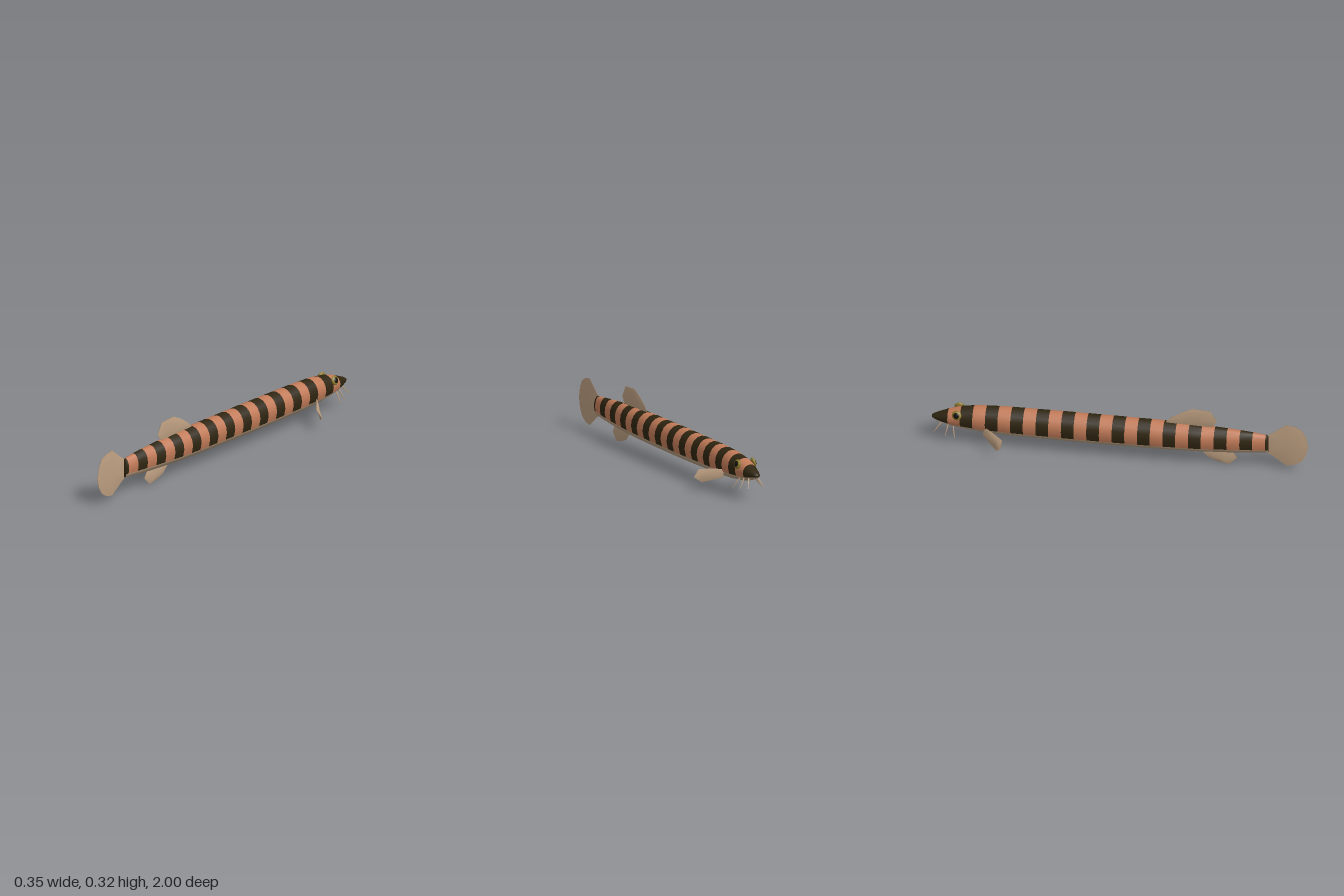
import * as THREE from 'three';

const mat = (name, color, side = THREE.FrontSide) => {
  const m = new THREE.MeshStandardMaterial({ color, side });
  m.name = name;
  return m;
};

// Body stations: z, bottom y, top y, half width
const STATIONS = [
  [-1, 0.134, 0.146, 0.01], [-0.985, 0.125, 0.156, 0.021], [-0.95, 0.112, 0.171, 0.034],
  [-0.9, 0.097, 0.192, 0.046], [-0.85, 0.088, 0.207, 0.054], [-0.75, 0.077, 0.222, 0.062],
  [-0.6, 0.07, 0.228, 0.066], [-0.2, 0.065, 0.231, 0.067], [0.2, 0.068, 0.23, 0.066],
  [0.4, 0.072, 0.226, 0.06], [0.6, 0.081, 0.217, 0.044], [0.7, 0.088, 0.21, 0.034], [0.79, 0.096, 0.201, 0.024],
];

function section(z) {
  let i = 0;
  while (i < STATIONS.length - 2 && z > STATIONS[i + 1][0]) i++;
  const [a, b] = [STATIONS[i], STATIONS[i + 1]];
  const t = (z - a[0]) / (b[0] - a[0]);
  return [1, 2, 3].map((k) => a[k] + (b[k] - a[k]) * t);
}

// Evenly spaced dark bands, plus the dark snout
const PERIOD = 0.135;
const START = 0.64;
const BAND = 0.067;
function isDark(z) {
  if (z < -0.913) return true;
  const p = (((z - START) % PERIOD) + PERIOD) % PERIOD;
  return p < BAND;
}

// One smooth skin, with material groups for bands and belly
function bodyGeometry() {
  const zs = STATIONS.map((s) => s[0]);
  for (let k = -1; k <= 12; k++) {
    for (const z of [START - PERIOD * k, START - PERIOD * k + BAND]) if (z > -0.93 && z < 0.785) zs.push(z);
  }
  zs.sort((a, b) => a - b);
  const rows = zs.filter((z, i) => i === 0 || z - zs[i - 1] > 1e-4);
  const N = 16;
  const angles = Array.from({ length: N }, (_, j) => (j * Math.PI * 2) / N);
  angles[9] = Math.PI * (1 + 1 / 6); // belly line, right
  angles[15] = -Math.PI / 6; // belly line, left
  const pos = [];
  for (const z of rows) {
    const [y0, y1, w] = section(z);
    for (const a of angles) pos.push(w * Math.cos(a), (y0 + y1) / 2 + ((y1 - y0) / 2) * Math.sin(a), z);
  }
  const faces = [[], [], []]; // light, dark, belly
  for (let i = 0; i < rows.length - 1; i++) {
    const dark = isDark((rows[i] + rows[i + 1]) / 2);
    for (let j = 0; j < N; j++) {
      const k = (j + 1) % N;
      const [a, b, c, d] = [i * N + j, i * N + k, (i + 1) * N + j, (i + 1) * N + k];
      faces[j >= 9 && j < 15 ? 2 : dark ? 1 : 0].push(a, b, c, b, d, c);
    }
  }
  // End caps
  const last = (rows.length - 1) * N;
  const tip = pos.length / 3;
  pos.push(0, 0.14, -1, 0, 0.148, 0.79);
  for (let j = 0; j < N; j++) {
    const k = (j + 1) % N;
    faces[1].push(tip, k, j, tip + 1, last + j, last + k);
  }
  const g = new THREE.BufferGeometry();
  g.setAttribute('position', new THREE.Float32BufferAttribute(pos, 3));
  g.setIndex(faces.flat());
  let start = 0;
  faces.forEach((f, m) => {
    g.addGroup(start, f.length, m);
    start += f.length;
  });
  g.computeVertexNormals();
  return g;
}

// Thin fin: an outline swelling to a slight ridge on both sides
function finGeometry(points, thickness) {
  const pts = points.map((p) => new THREE.Vector3(...p));
  const n = pts.length;
  const centre = pts.reduce((s, p) => s.add(p), new THREE.Vector3()).divideScalar(n);
  const normal = new THREE.Vector3();
  pts.forEach((p, i) => {
    const q = pts[(i + 1) % n];
    normal.add(p.clone().sub(centre).cross(q.clone().sub(centre)));
  });
  normal.normalize();
  const pos = [];
  const index = [];
  for (const s of [1, -1]) {
    const base = pos.length / 3;
    for (const p of pts) pos.push(...p.clone().addScaledVector(normal, s * 0.0015).toArray());
    for (const p of pts) {
      pos.push(...p.clone().lerp(centre, 0.5).addScaledVector(normal, s * thickness * 0.8).toArray());
    }
    pos.push(...centre.clone().addScaledVector(normal, s * thickness).toArray());
    for (let i = 0; i < n; i++) {
      const k = (i + 1) % n;
      const tris = [[i, k, n + i], [k, n + k, n + i], [n + i, n + k, 2 * n]];
      for (const [a, b, c] of tris) index.push(base + a, base + (s > 0 ? b : c), base + (s > 0 ? c : b));
    }
  }
  // Narrow rim
  const m = 2 * n + 1;
  for (let i = 0; i < n; i++) {
    const k = (i + 1) % n;
    index.push(i, m + i, k, k, m + i, m + k);
  }
  const g = new THREE.BufferGeometry();
  g.setAttribute('position', new THREE.Float32BufferAttribute(pos, 3));
  g.setIndex(index);
  g.computeVertexNormals();
  return g;
}

export function createModel() {
  const group = new THREE.Group();
  const light = mat('salmon skin', 0xc27b58);
  const dark = mat('dark band', 0x2f2511);
  const belly = mat('pale belly', 0xb89c7e);
  const fin = mat('fin tan', 0xbc9e80, THREE.DoubleSide);
  const iris = mat('iris gold', 0x8f7a2c);
  const pupil = mat('pupil black', 0x12100c);
  const add = (name, geometry, material) => {
    const mesh = new THREE.Mesh(geometry, material);
    mesh.name = name;
    group.add(mesh);
    return mesh;
  };

  add('body', bodyGeometry(), [light, dark, belly]);

  // Upright fins, outlined in (z, y)
  const upright = (name, outline, t) => add(name, finGeometry(outline.map(([z, y]) => [0, y, z]), t), fin);
  upright('tailFin', [
    [0.76, 0.19], [0.8, 0.21], [0.885, 0.276], [0.93, 0.268], [0.967, 0.25], [0.99, 0.205], [1, 0.15],
    [0.99, 0.1], [0.967, 0.058], [0.93, 0.034], [0.885, 0.024], [0.8, 0.085], [0.76, 0.105],
  ], 0.007);
  upright('dorsalFin', [
    [0.23, 0.215], [0.27, 0.258], [0.33, 0.298], [0.385, 0.324], [0.48, 0.318], [0.515, 0.258], [0.48, 0.21],
  ], 0.007);
  upright('analFin', [
    [0.42, 0.085], [0.475, 0.03], [0.52, 0.014], [0.58, 0.002], [0.622, 0.045], [0.595, 0.09],
  ], 0.006);

  for (const s of [1, -1]) {
    const side = s > 0 ? 'left' : 'right';
    // Paired side fins
    const outline = [
      [0.05, 0.125, -0.71], [0.085, 0.123, -0.67], [0.14, 0.113, -0.605],
      [0.172, 0.073, -0.61], [0.14, 0.048, -0.637], [0.055, 0.085, -0.722],
    ];
    add(side + 'PectoralFin', finGeometry(outline.map(([x, y, z]) => [s * x, y, z]), 0.005), fin);

    // Eye: flattened gold ball with a dark pupil
    const eye = new THREE.Group();
    eye.name = side + 'Eye';
    const parts = [['iris', iris, 0.026, 0], ['pupil', pupil, 0.0175, 0.006]];
    for (const [name, material, r, out] of parts) {
      const ball = new THREE.Mesh(new THREE.SphereGeometry(r, 16, 10), material);
      ball.name = name;
      ball.scale.z = 0.45;
      ball.position.z = out;
      eye.add(ball);
    }
    eye.position.set(s * 0.047, 0.183, -0.862);
    eye.lookAt(s * 1.047, 0.5, -1.0);
    group.add(eye);

    // Barbels hanging round the mouth
    const barbels = [
      [[0.024, 0.122, -0.945], [0.05, 0.07, -0.985]],
      [[0.034, 0.115, -0.91], [0.066, 0.06, -0.921]],
      [[0.042, 0.112, -0.88], [0.08, 0.063, -0.87]],
    ];
    for (const [from, to] of barbels) {
      const a = new THREE.Vector3(s * from[0], from[1], from[2]);
      const b = new THREE.Vector3(s * to[0], to[1], to[2]);
      const d = b.clone().sub(a);
      const barbel = add(side + 'Barbel', new THREE.CylinderGeometry(0.0012, 0.0045, d.length(), 6), fin);
      barbel.position.copy(a).add(b).multiplyScalar(0.5);
      barbel.quaternion.setFromUnitVectors(new THREE.Vector3(0, 1, 0), d.normalize());
    }
  }
  return group;
}
